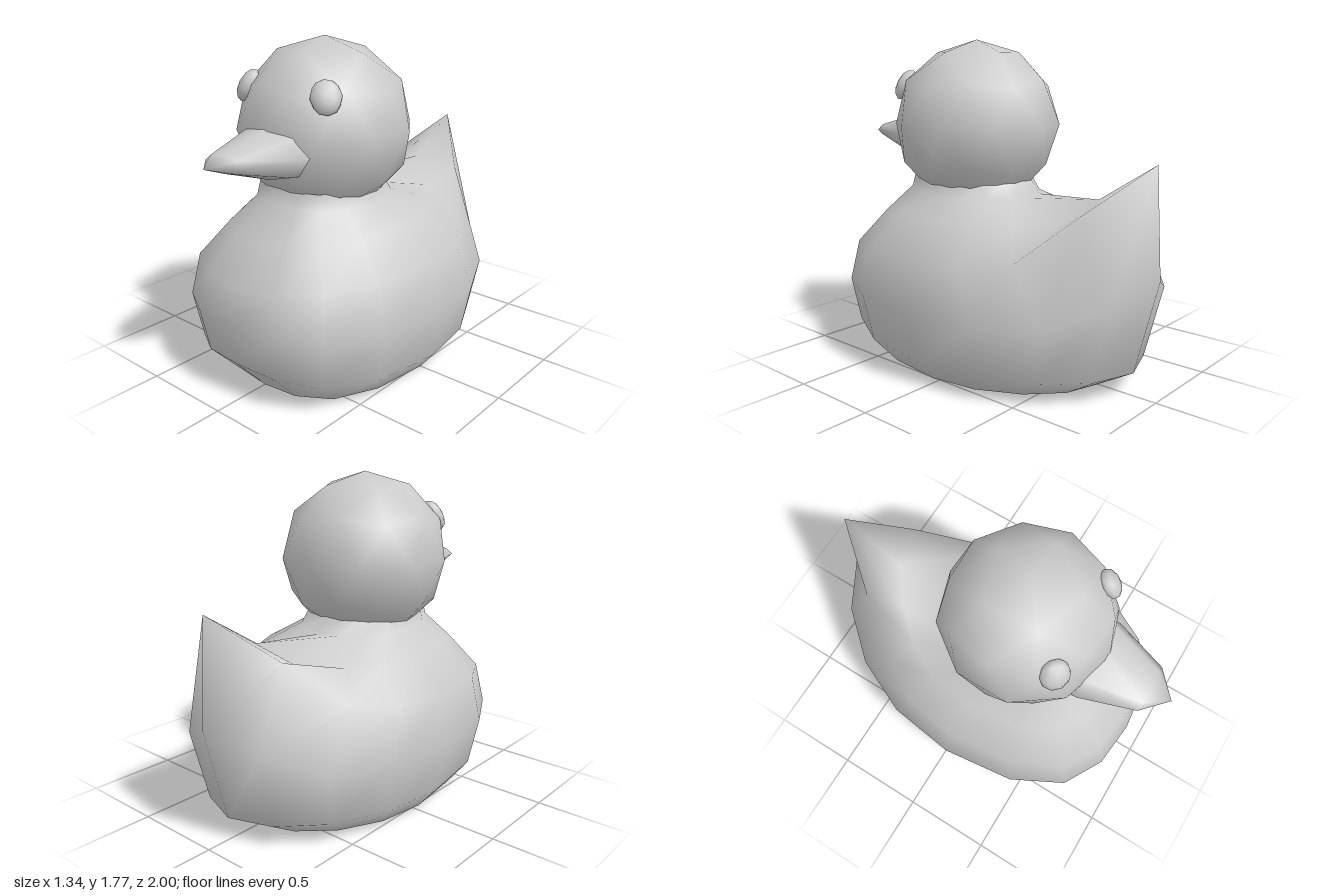
import * as THREE from 'three';
import { mergeVertices } from 'three/addons/utils/BufferGeometryUtils.js';

const material = new THREE.MeshStandardMaterial({ color: 0xcccccc });
const shellMaterial = new THREE.MeshStandardMaterial({ color: 0xcccccc, side: THREE.DoubleSide });

function part(name, geometry, surface = material) {
  const mesh = new THREE.Mesh(geometry, surface);
  mesh.name = name;
  return mesh;
}

// Skins a list of closed rings (arrays of Vector3) with smooth normals.
function loft(rings) {
  const n = rings[0].length;
  const index = [];
  for (let r = 0; r < rings.length - 1; r++) {
    for (let i = 0; i < n; i++) {
      const a = r * n + i, b = r * n + (i + 1) % n;
      index.push(a, b, b + n, a, b + n, a + n);
    }
  }
  const geometry = new THREE.BufferGeometry().setFromPoints(rings.flat());
  geometry.setIndex(index);
  const welded = mergeVertices(geometry);
  welded.computeVertexNormals();
  return welded;
}

// One body ring: full front, elliptical back, with a narrow pull at the tail.
// A higher ridge value keeps the raised tail closer to the middle line.
function bodyRing({ front, side, back, tail, ridge = 8 }) {
  const n = 16;
  return Array.from({ length: n }, (_, i) => {
    const angle = (i / n) * Math.PI * 2;
    const c = Math.cos(angle);
    const x = side[0] * Math.sin(angle);
    if (c >= 0) {
      const z = side[2] + (front[0] - side[2]) * c * (1 + 0.32 * (1 - c * c));
      return new THREE.Vector3(x, side[1] + (front[1] - side[1]) * c * c, z);
    }
    const z = side[2] - (back - side[2]) * c + (tail[0] - back) * Math.pow(-c, 14);
    return new THREE.Vector3(x, side[1] + (tail[1] - side[1]) * Math.pow(-c, ridge), z);
  });
}

// Hollow shell, open underneath
function createBody() {
  // front and tail: [z, y]; side: [x, y, z]; back: z of the ring without the tail
  const rings = [
    { front: [0.68, 0], side: [0.53, 0.015, 0.02], back: -0.66, tail: [-0.66, 0] },
    { front: [0.86, 0.2], side: [0.62, 0.125, 0.04], back: -0.85, tail: [-0.87, 0.12] },
    { front: [0.9, 0.42], side: [0.67, 0.395, 0.06], back: -0.94, tail: [-1.0, 0.62] },
    { front: [0.85, 0.61], side: [0.62, 0.66, 0.06], back: -0.65, tail: [-0.965, 1.18] },
    { front: [0.7, 0.8], side: [0.45, 0.84, 0.08], back: -0.52, tail: [-0.64, 0.975], ridge: 30 },
    { front: [0.55, 0.97], side: [0.31, 0.94, 0.17], back: -0.2, tail: [-0.2, 0.93] },
    { front: [0.53, 1.04], side: [0.29, 1.03, 0.19], back: -0.13, tail: [-0.13, 1.02] },
  ];
  return part('body', loft(rings.map(bodyRing)), shellMaterial);
}

// Flattened cone that ends in a wide, pointed lip
function createBeak() {
  const sections = [
    [0.5, 0.238, 0.132, 0.148],
    [0.6, 0.225, 0.128, 0.138],
    [0.88, 0.13, 0.042, 0.045],
    [1.0, 0, 0, 0],
  ]; // z, half width, height above, height below
  return part('beak', loft(sections.map(([z, w, up, down]) =>
    Array.from({ length: 8 }, (_, i) => {
      const a = (i / 8) * Math.PI * 2, s = Math.sin(a);
      return new THREE.Vector3(w * Math.cos(a), 1.24 + s * (s > 0 ? up : down), z);
    }))));
}

export function createModel() {
  const model = new THREE.Group();
  model.name = 'bathDuck';

  // Head: faceted ball with one corner straight up
  const ball = new THREE.IcosahedronGeometry(0.46, 1)
    .rotateX(-Math.atan((1 + Math.sqrt(5)) / 2))
    .rotateY(Math.PI / 2);
  const head = part('head', ball);
  head.position.set(-0.003, 1.307, 0.185);
  model.add(createBody(), head, createBeak());

  // Eyes: flattened beads lying on the head
  for (const side of [1, -1]) {
    const eye = part(side > 0 ? 'leftEye' : 'rightEye', new THREE.IcosahedronGeometry(1, 1));
    eye.scale.set(0.077, 0.09, 0.05);
    eye.position.set(side * 0.263, 1.522, 0.472);
    eye.lookAt(eye.position.clone().multiplyScalar(2).sub(head.position));
    eye.rotateZ(side * 0.1);
    model.add(eye);
  }
  return model;
}
